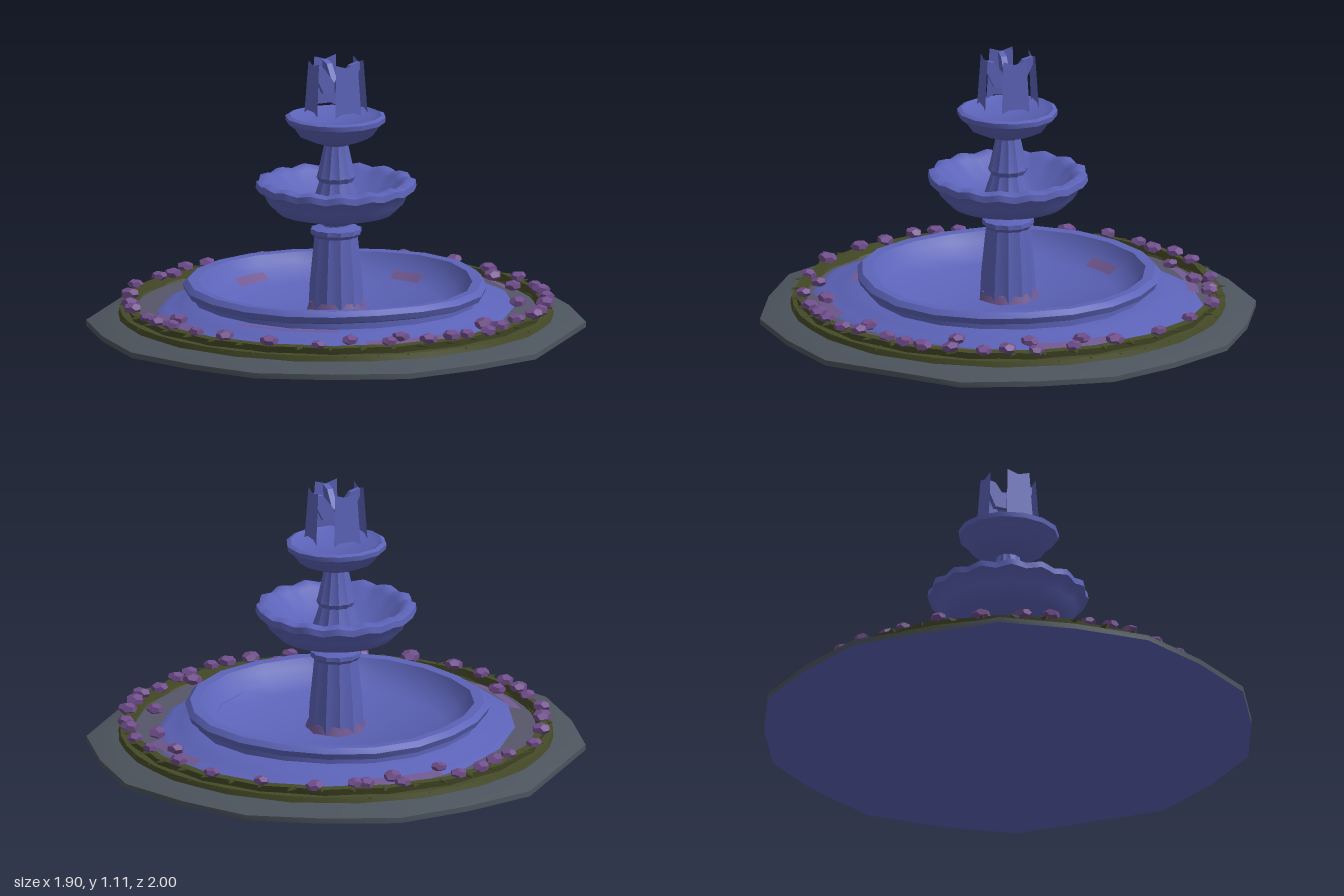
import * as THREE from 'three';
import { toCreasedNormals } from 'three/addons/utils/BufferGeometryUtils.js';

export function createModel() {
  const mat = (name, color) => {
    const m = new THREE.MeshStandardMaterial({ color, side: THREE.DoubleSide });
    m.name = name;
    return m;
  };
  const blue = mat('blue stone and water', 0x5c63b8);
  const slate = mat('slate paving', 0x4c545d);
  const bed = mat('grey mauve bed', 0x57566a);
  const green = mat('hedge green', 0x454a27);
  const purple = mat('blossom purple', 0x704e8c);
  const mauve = mat('mauve patch', 0x705891);

  let seed = 7;
  const rand = () => (seed = (seed * 16807) % 2147483647) / 2147483647;
  const group = new THREE.Group();
  const add = (name, geo, material, parent = group) => {
    const mesh = new THREE.Mesh(geo, material);
    mesh.name = name;
    parent.add(mesh);
    return mesh;
  };
  const vectors = (points) => points.map(([x, y]) => new THREE.Vector2(x, y));

  // Lathe whose radius and height follow a rule: rule(angle, r) -> [radius factor, height offset]
  const turned = (name, profile, segments, material, rule = () => [1, 0], crease = 0.7) => {
    const geo = new THREE.LatheGeometry(vectors(profile), segments);
    const p = geo.attributes.position;
    for (let i = 0; i < p.count; i++) {
      const x = p.getX(i), z = p.getZ(i);
      const [f, dy] = rule(Math.atan2(x, z), Math.hypot(x, z));
      p.setXYZ(i, x * f, p.getY(i) + dy, z * f);
    }
    geo.deleteAttribute('uv');
    return add(name, toCreasedNormals(geo, crease), material);
  };

  // Paving: ten-sided plinth with softened corners, flat across both sides, and the planting bed inside the hedge
  const outline = (a, r) => {
    if (r < 0.88) return [1, 0];
    const corner = Math.abs(Math.cos(a * 5)) > 0.9;
    return [corner ? 1 : Math.abs(Math.sin(a)) > 0.99 ? 0.951 : 0.975, 0];
  };
  turned('plinthUnderside', [[0, 0], [0.55, 0.008], [1, 0.015]], 20, blue, outline);
  turned('plinthPaving', [[1, 0.015], [1, 0.037], [0.87, 0.068], [0.81, 0.072]], 20, slate, outline);
  turned('plantingBed', [[0.82, 0.072], [0.81, 0.084], [0.6, 0.09]], 40, bed);

  // Apron, narrower across the sides, and main basin with a slightly uneven rolled rim
  turned('basinApron', [[0.8, 0.086], [0.76, 0.104], [0.7, 0.11], [0.67, 0.128], [0.55, 0.13]], 16, blue,
    (a) => [1 - 0.12 * Math.sin(a) ** 2, 0]);
  turned('basin', [[0.57, 0.1], [0.57, 0.15], [0.6, 0.16], [0.61, 0.185], [0.59, 0.205], [0.55, 0.203],
    [0.53, 0.17], [0.5, 0.14], [0.44, 0.1], [0, 0.09]], 20, blue,
    (a, r) => (r < 0.1 ? [1, 0] : [1 + 0.01 * Math.sin(5 * a + 1), 0.004 * Math.sin(3 * a)]));

  // Mauve patches: front strip, four corners and the basin's inner wall, as [angle, width, r0, y0, r1, y1]
  const corner = [0.45, 0.765, 0.104, 0.72, 0.115];
  for (const [a, w, r0, y0, r1, y1] of [
    [0, 0.7, 0.64, 0.134, 0.61, 0.134],
    [2.45, ...corner], [-2.4, ...corner], [0.72, ...corner], [-0.72, ...corner],
    [-2, 0.35, 0.49, 0.147, 0.45, 0.12], [2.82, 0.3, 0.49, 0.147, 0.45, 0.12],
  ]) add('mauvePatch', new THREE.LatheGeometry(vectors([[r0, y0], [r1, y1]]), 5, a - w / 2, w), mauve);
  const foot = add('footSlab', new THREE.CylinderGeometry(0.112, 0.125, 0.035, 7), mauve);
  foot.position.y = 0.108;

  // Fluted pedestals
  const flute = (n, d) => (a) => [1 + d * Math.cos(n * a), 0];
  turned('lowerPedestal', [[0.108, 0.09], [0.103, 0.2], [0.085, 0.385], [0.1, 0.4], [0.1, 0.418],
    [0.05, 0.428], [0.045, 0.46]], 24, blue, flute(12, 0.04), 0.5);
  turned('upperPedestal', [[0.1, 0.5], [0.065, 0.61], [0.076, 0.63], [0.07, 0.65], [0.047, 0.76], [0.065, 0.775],
    [0.05, 0.8]], 24, blue, flute(12, 0.05), 0.5);

  // Lower bowl with a scalloped rolled rim
  turned('lowerBowl', [[0.04, 0.43], [0.13, 0.462], [0.23, 0.485], [0.275, 0.53], [0.29, 0.565], [0.318, 0.582],
    [0.315, 0.608], [0.285, 0.618], [0.255, 0.6], [0.2, 0.54], [0.1, 0.51], [0, 0.51]], 64, blue,
    (a, r) => (r < 0.24 ? [1, 0] : [1 + 0.014 * Math.cos(16 * a), 0.006 * Math.cos(16 * a)]), 0.9);

  // Upper bowl, nearly brimming
  turned('upperBowl', [[0.04, 0.76], [0.1, 0.778], [0.15, 0.8], [0.175, 0.835], [0.2, 0.855], [0.202, 0.875],
    [0.185, 0.882], [0.16, 0.868], [0, 0.858]], 14, blue,
    (a, r) => [1 + (r > 0.15 ? 0.015 * Math.sin(3 * a) : 0), 0]);

  // Water: four rising arms from the centre, each ending in a thin two-pointed falling sheet
  const sheetGeo = new THREE.ShapeGeometry(new THREE.Shape(vectors([[-0.058, 0], [-0.03, 0.015], [0.03, 0.015],
    [0.058, 0], [0.048, 0.215], [0, 0.2], [-0.048, 0.215]])));
  const armGeo = new THREE.ExtrudeGeometry(new THREE.Shape(vectors([[0, 0.975], [0.06, 0.975], [0.1, 1.06],
    [0.1, 1.09], [0.06, 1.08], [0, 1.0]])), { depth: 0.024, bevelEnabled: false });
  const jets = new THREE.Group();
  jets.name = 'waterJets';
  group.add(jets);
  for (let i = 0; i < 4; i++) {
    const jet = new THREE.Group();
    jet.name = 'waterJet';
    jet.rotation.y = Math.PI / 4 + (i * Math.PI) / 2;
    jets.add(jet);
    const sheet = add('fallingSheet', sheetGeo, blue, jet);
    sheet.position.set(0, 0.892, 0.112);
    sheet.rotation.x = -0.06;
    const arm = add('risingArm', armGeo, blue, jet);
    arm.rotation.y = -Math.PI / 2;
    arm.position.x = 0.012;
  }

  // Hedge: two stacked rings and a fringe of leaves
  turned('hedgeLower', [[0.872, 0.064], [0.865, 0.088], [0.81, 0.09], [0.8, 0.075]], 40, green);
  turned('hedgeUpper', [[0.838, 0.085], [0.845, 0.116], [0.815, 0.12], [0.808, 0.085]], 40, green,
    (a) => [1 + 0.008 * Math.cos(20 * a), 0]);
  const leafGeo = new THREE.ConeGeometry(0.024, 0.045, 4).rotateX(Math.PI / 2).scale(1, 0.4, 1);
  const leaves = new THREE.Group();
  leaves.name = 'hedgeLeaves';
  group.add(leaves);
  for (let i = 0; i < 84; i++) {
    const a = (i / 84) * Math.PI * 2;
    const leaf = add('leaf', leafGeo, green, leaves);
    const r = 0.845 + rand() * 0.012;
    leaf.position.set(r * Math.sin(a), i % 2 ? 0.083 : 0.112, r * Math.cos(a));
    leaf.rotation.y = a + (rand() - 0.5);
  }

  // Blossoms scattered along the hedge and apron, as [x, z]
  const flowerGeo = toCreasedNormals(new THREE.DodecahedronGeometry(0.037).scale(1, 0.6, 1), 0.3);
  const flowers = new THREE.Group();
  flowers.name = 'blossoms';
  group.add(flowers);
  for (const [x, z] of [
    [0, -0.83], [-0.22, -0.81], [0.22, -0.81], [-0.4, -0.7], [-0.36, -0.72], [-0.47, -0.59], [-0.53, -0.63],
    [0.4, -0.71], [0.46, -0.59], [0.6, -0.43], [0.56, -0.61], [0.67, -0.5], [-0.6, -0.41], [-0.7, -0.45],
    [0.73, -0.4], [0.78, -0.32], [0.82, -0.19], [-0.755, -0.345], [-0.77, -0.235], [-0.8, -0.155],
    [-0.845, 0.01], [0.835, -0.07], [0.84, 0.01], [0.715, -0.16], [0.8, 0.11], [0.78, 0.25], [0.71, 0.245],
    [-0.81, 0.18], [-0.755, 0.335], [-0.71, 0.44], [-0.605, 0.56], [-0.47, 0.57], [-0.54, 0.63], [-0.46, 0.685],
    [-0.335, 0.745], [-0.2, 0.79], [0, 0.825], [0.2, 0.8], [0.3, 0.7], [0.46, 0.68], [0.47, 0.57],
    [0.59, 0.58], [0.66, 0.5], [0.705, 0.44], [0.76, 0.34],
  ]) {
    const f = add('blossom', flowerGeo, purple, flowers);
    f.position.set(x, 0.124 + rand() * 0.01, z);
    f.rotation.set((rand() - 0.5) * 0.4, rand() * 6, 0);
    f.scale.setScalar(0.88 + rand() * 0.2);
  }

  return group;
}
